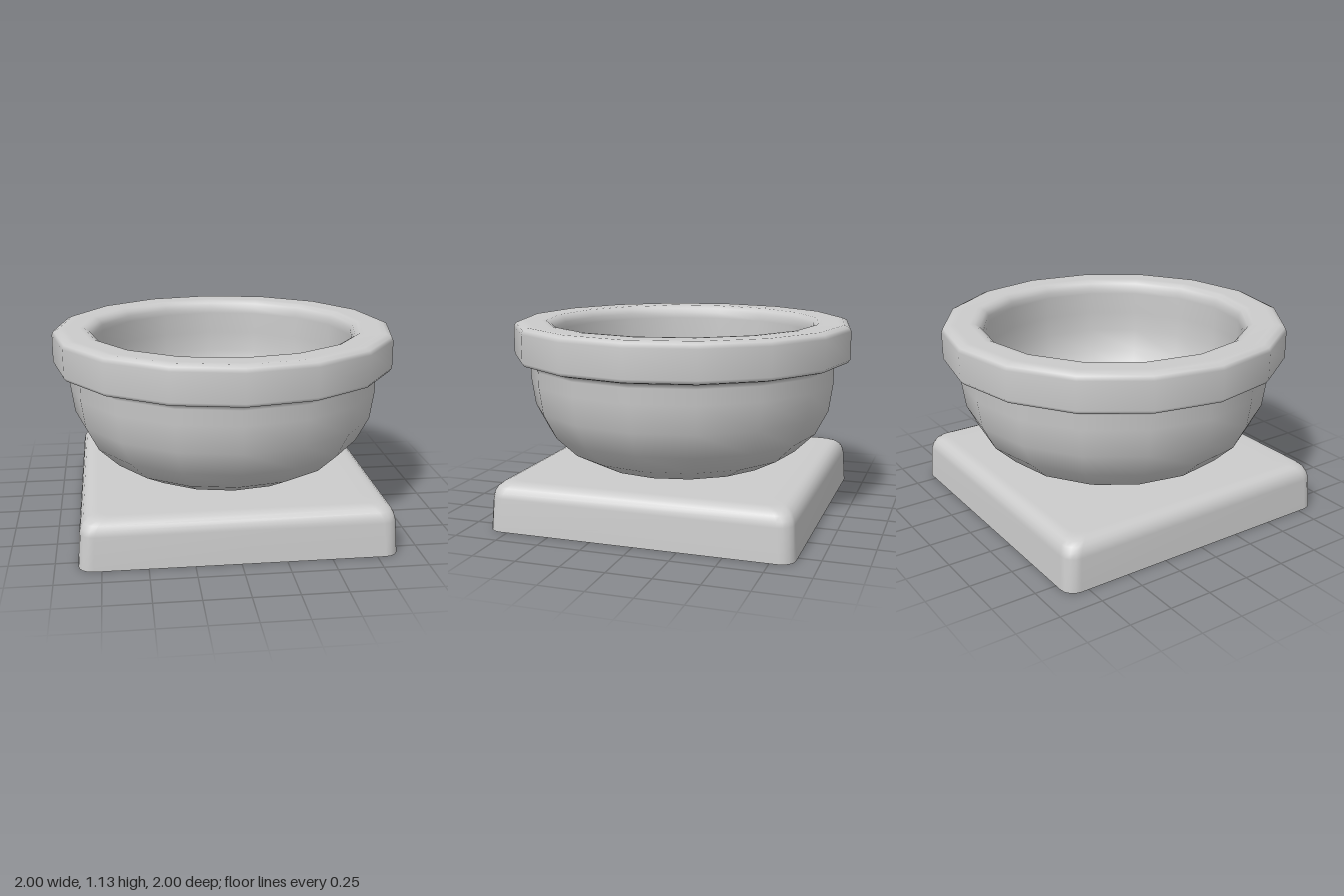
import * as THREE from 'three';

const material = new THREE.MeshStandardMaterial({ color: 0xcccccc, side: THREE.DoubleSide });

// Outline of a square with rounded corners, seen from above
function roundedSquare(half, radius, y, steps = 4) {
  const ring = [];
  for (let corner = 0; corner < 4; corner++) {
    const mid = Math.PI / 4 + corner * Math.PI / 2;
    const cx = Math.sign(Math.cos(mid)) * (half - radius);
    const cz = Math.sign(Math.sin(mid)) * (half - radius);
    for (let i = 0; i <= steps; i++) {
      const a = corner * Math.PI / 2 + (i / steps) * Math.PI / 2;
      ring.push([cx + Math.cos(a) * radius, y, cz + Math.sin(a) * radius]);
    }
  }
  return ring;
}

// Hollow plinth, open underneath: stacked rings closed by a flat top
function createPlinth() {
  const sections = [
    [0.875, 0], [0.863, 0.19], [0.856, 0.22], [0.842, 0.246],
    [0.82, 0.264], [0.795, 0.273], [0.765, 0.275], [0.7, 0.275],
  ];
  const rings = sections.map(([half, y]) => roundedSquare(half, 0.08, y));
  const n = rings[0].length;
  const positions = rings.flat(2);
  positions.push(0, 0.275, 0);
  const center = rings.length * n;
  const index = [];
  for (let j = 0; j < rings.length; j++) {
    for (let i = 0; i < n; i++) {
      const a = j * n + i, b = j * n + (i + 1) % n;
      if (j < rings.length - 1) index.push(a, a + n, b, b, a + n, b + n);
      else index.push(a, center, b);
    }
  }
  const geometry = new THREE.BufferGeometry();
  geometry.setAttribute('position', new THREE.Float32BufferAttribute(positions, 3));
  geometry.setIndex(index);
  geometry.computeVertexNormals();
  const mesh = new THREE.Mesh(geometry, material);
  mesh.name = 'plinth';
  return mesh;
}

// Sixteen-sided turned part
function turned(name, profile) {
  const points = profile.map(([r, y]) => new THREE.Vector2(r, y));
  const mesh = new THREE.Mesh(new THREE.LatheGeometry(points, 16), material);
  mesh.name = name;
  return mesh;
}

export function createModel() {
  const group = new THREE.Group();
  group.name = 'bowlOnPlinth';

  const bowlOutside = turned('bowlOutside', [
    [0, 0.262], [0.39, 0.262], [0.44, 0.275], [0.545, 0.295], [0.69, 0.37],
    [0.81, 0.485], [0.885, 0.63], [0.908, 0.79], [0.908, 0.875], [0.918, 0.897], [0.94, 0.905],
  ]);

  // Heavy rim with softened edges
  const rim = turned('rim', [
    [0.92, 0.904], [0.955, 0.906], [0.985, 0.915], [1, 0.935], [1, 1.095], [0.99, 1.117],
    [0.96, 1.13], [0.93, 1.13], [0.84, 1.13], [0.81, 1.128], [0.782, 1.112], [0.767, 1.085],
    [0.765, 1.05], [0.765, 0.92],
  ]);

  const bowlInside = turned('bowlInside', [
    [0.765, 0.92], [0.765, 0.8], [0.74, 0.665], [0.67, 0.54],
    [0.56, 0.45], [0.42, 0.395], [0.22, 0.375], [0, 0.372],
  ]);

  group.add(createPlinth(), bowlOutside, rim, bowlInside);
  return group;
}
